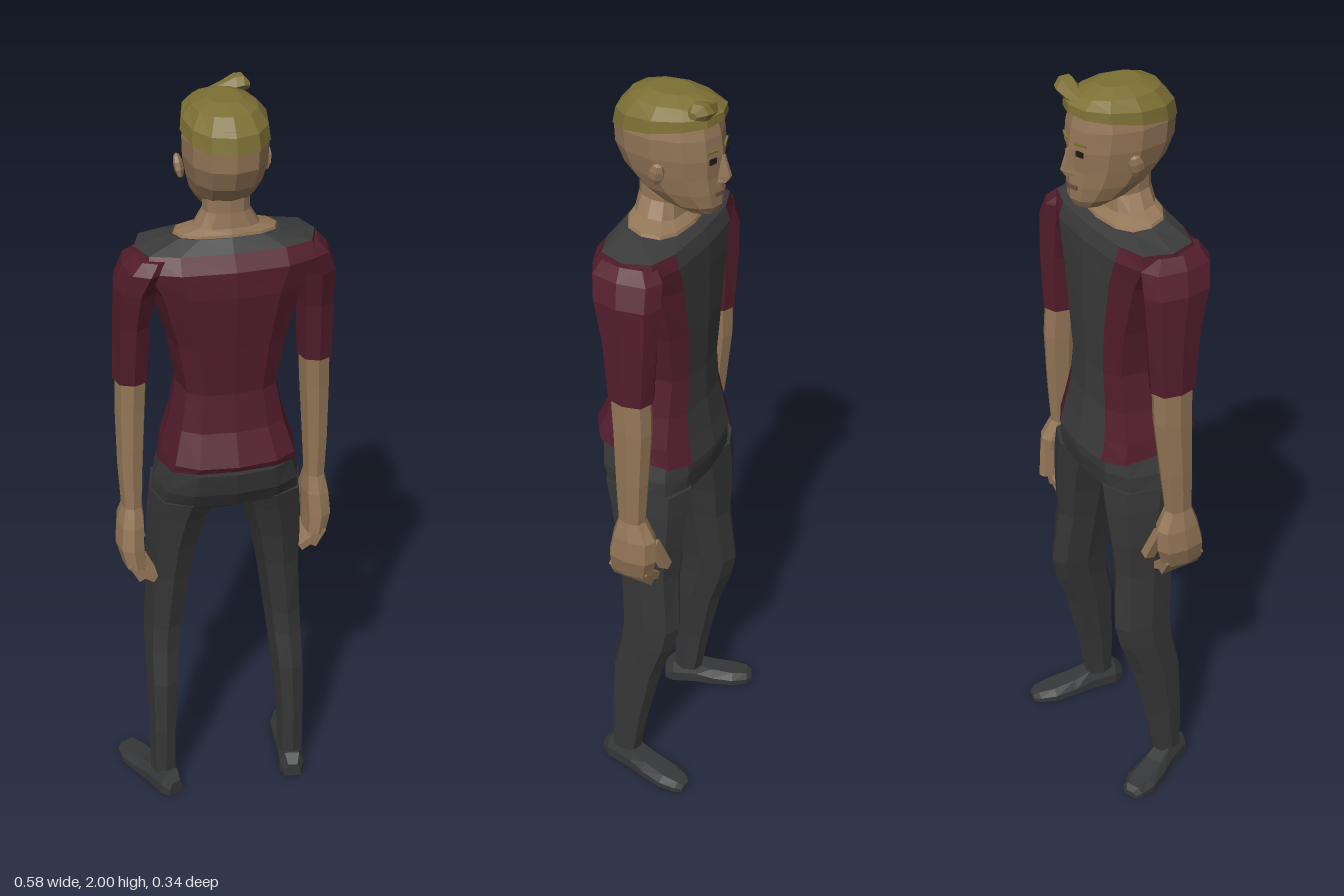
import * as THREE from 'three';

const mat = (name, color) => {
  const m = new THREE.MeshStandardMaterial({ color });
  m.name = name;
  m.flatShading = true;
  return m;
};

// Skins a list of equal-length point rings, caps both ends, and turns all faces outward.
// pick(ring, segment) chooses an index into the list of materials.
function loft(name, rings, mats, pick = () => 0) {
  const list = [].concat(mats);
  const tris = list.map(() => []);
  const n = rings[0].length;
  const mid = r => r.reduce((s, p) => s.add(p), new THREE.Vector3()).divideScalar(n);
  for (let i = 0; i < rings.length - 1; i++) {
    for (let j = 0; j < n; j++) {
      const k = (j + 1) % n;
      const [a, b, c, d] = [rings[i][j], rings[i][k], rings[i + 1][k], rings[i + 1][j]];
      tris[pick(i, j)].push([a, d, c], [a, c, b]);
    }
  }
  const last = rings.length - 1;
  const c0 = mid(rings[0]), c1 = mid(rings[last]);
  for (let j = 0; j < n; j++) {
    const k = (j + 1) % n;
    tris[pick(0, j)].push([c0, rings[0][j], rings[0][k]]);
    tris[pick(last - 1, j)].push([c1, rings[last][k], rings[last][j]]);
  }
  let volume = 0;
  tris.flat().forEach(([a, b, c]) => { volume += a.dot(b.clone().cross(c)); });
  const geo = new THREE.BufferGeometry();
  const points = [];
  tris.forEach((set, m) => {
    geo.addGroup(points.length, set.length * 3, m);
    set.forEach(([a, b, c]) => points.push(...(volume < 0 ? [a, c, b] : [a, b, c])));
  });
  geo.setFromPoints(points);
  geo.computeVertexNormals();
  const mesh = new THREE.Mesh(geo, list.length > 1 ? list : list[0]);
  mesh.name = name;
  return mesh;
}

// Horizontal ring: height, centre x, half width, front z, back z.
// Lower powers make the section boxier; shift and shear move an arm backwards.
function ring([y, cx, w, zf, zb], opt = {}) {
  const { n = 12, power = 0.8, zPower = power, tilt = 0, taper = 0, side = 1, shift = 0, shear = 0 } = opt;
  const soft = (v, p) => Math.sign(v) * Math.pow(Math.abs(v), p);
  return Array.from({ length: n }, (_, j) => {
    const a = (j / n) * Math.PI * 2;
    const c = soft(Math.cos(a), power), s = soft(Math.sin(a), zPower);
    const z = (zf + zb) / 2 + s * (zb - zf) / 2;
    const x = cx + w * c * (1 - taper * Math.max(0, -s));
    return new THREE.Vector3(side * x, y + tilt * z, z + shift + shear * Math.max(0, 1.3 - y));
  });
}

export function createModel() {
  const skin = mat('skin', 0x937657);
  const hair = mat('hair', 0x7d7035);
  const maroon = mat('maroon cloth', 0x521d2c);
  const grey = mat('grey cloth', 0x3a3a3a);
  const trousers = mat('trouser cloth', 0x363636);
  const leather = mat('shoe leather', 0x363738);
  const dark = mat('eye dark', 0x1d1916);
  const lip = mat('lip', 0x6e4f40);

  const model = new THREE.Group();
  model.name = 'standingMan';
  const add = m => (model.add(m), m);
  const stack = (name, rows, mats, opt, pick) =>
    add(loft(name, rows.map(r => ring(r, opt)), mats, pick));

  // Shirt body: grey front panel and shoulder yoke, maroon sides and back
  const shirt = [
    [1.05, 0, 0.177, -0.128, 0.158], [1.09, 0, 0.17, -0.115, 0.166], [1.17, 0, 0.145, -0.102, 0.13],
    [1.27, 0, 0.125, -0.1, 0.115], [1.4, 0, 0.147, -0.105, 0.125], [1.54, 0, 0.188, -0.105, 0.138],
    [1.605, 0, 0.225, -0.102, 0.134], [1.641, 0, 0.22, -0.088, 0.105]]
    .map((r, i) => ring(r, { zPower: 0.55, tilt: i === 0 ? 0.15 : 0 }));
  shirt.push(ring([1.662, 0, 0.135, -0.07, 0.085], { tilt: 0.12 }));
  add(loft('shirt', shirt, [maroon, grey], (i, j) => (i === 7 || j === 8 || j === 9 ? 1 : 0)));

  // Neck, spreading into the wide collar opening
  stack('neck', [[1.66, 0, 0.128, -0.066, 0.082], [1.669, 0, 0.124, -0.062, 0.08], [1.682, 0, 0.08, -0.04, 0.075],
    [1.72, 0, 0.057, -0.032, 0.07], [1.77, 0, 0.057, -0.04, 0.07]], skin, { tilt: 0.12 });

  // Head, slightly narrower towards the face
  const headShape = { power: 0.87, taper: 0.12 };
  stack('head', [[1.704, 0, 0.038, -0.123, -0.04], [1.724, 0, 0.058, -0.134, 0.015], [1.76, 0, 0.077, -0.135, 0.072],
    [1.8, 0, 0.089, -0.133, 0.108], [1.85, 0, 0.099, -0.136, 0.13], [1.9, 0, 0.101, -0.13, 0.132],
    [1.945, 0, 0.09, -0.118, 0.118]], skin, headShape);

  // Hair cap, lower at the nape
  add(loft('hairCap', [
    ring([1.915, 0, 0.104, -0.137, 0.135], { ...headShape, tilt: -0.16 }),
    ring([1.945, 0, 0.1, -0.135, 0.127], { ...headShape, tilt: -0.09 }),
    ring([1.972, 0, 0.077, -0.108, 0.095], headShape),
    ring([1.988, 0, 0.04, -0.06, 0.05], headShape)], hair));

  // Quiff swept to one side of the fringe
  add(loft('quiff', [[-0.03, 1.955, -0.1, 0.01], [0.02, 1.964, -0.107, 0.018], [0.05, 1.974, -0.108, 0.023],
    [0.068, 1.977, -0.106, 0.021], [0.083, 1.972, -0.1, 0.009]].map(([x, y, z, r]) =>
    Array.from({ length: 6 }, (_, j) => {
      const a = (j * Math.PI) / 3;
      return new THREE.Vector3(x, y + r * Math.sin(a), z + r * 1.25 * Math.cos(a));
    })), hair));

  // Nose
  add(loft('nose', [[1.85, 0.008, -0.14], [1.8, 0.014, -0.156], [1.785, 0.018, -0.147]].map(([y, w, z]) =>
    [[-w, -0.12], [w, -0.12], [w * 0.4, z], [-w * 0.4, z]].map(([x, d]) => new THREE.Vector3(x, y, d))), skin));

  for (const side of [1, -1]) {
    const label = side > 0 ? 'left' : 'right';
    const box = (name, m, [w, h, d], [x, y, z], [rx, ry, rz] = [0, 0, 0]) => {
      const b = add(new THREE.Mesh(new THREE.BoxGeometry(w, h, d), m));
      b.name = label + name;
      b.position.set(side * x, y, z);
      b.rotation.set(rx, side * ry, side * rz);
    };

    // Face details and ears
    box('Eye', dark, [0.02, 0.013, 0.008], [0.033, 1.846, -0.125], [0, -0.31, 0]);
    box('Brow', hair, [0.034, 0.006, 0.009], [0.033, 1.868, -0.123], [0, -0.31, 0.08]);
    box('Lip', lip, [0.024, 0.01, 0.009], [0.011, 1.757, -0.131], [0, -0.31, 0]);
    const ear = add(new THREE.Mesh(new THREE.SphereGeometry(1, 6, 5), skin));
    ear.name = label + 'Ear';
    ear.scale.set(0.012, 0.031, 0.02);
    ear.position.set(side * 0.104, 1.82, -0.02);
    ear.rotation.set(-0.2, side * 0.3, -side * 0.15);

    // Sleeve, forearm and palm; the right arm hangs further back
    const arm = { n: 8, side, shift: side < 0 ? 0.022 : 0, shear: side < 0 ? 0.06 : 0 };
    stack(label + 'Sleeve', [[1.632, 0.18, 0.045, -0.06, 0.08], [1.605, 0.2, 0.052, -0.088, 0.096],
      [1.55, 0.222, 0.052, -0.094, 0.082], [1.45, 0.231, 0.046, -0.09, 0.055],
      [1.29, 0.236, 0.045, -0.08, 0.035]], maroon, arm);
    stack(label + 'Forearm', [[1.29, 0.236, 0.039, -0.074, 0.029], [1.2, 0.24, 0.038, -0.078, 0.022],
      [1.05, 0.245, 0.033, -0.07, 0.015], [0.93, 0.246, 0.027, -0.062, 0.01]], skin, arm);
    stack(label + 'Palm', [[0.93, 0.246, 0.027, -0.062, 0.01], [0.88, 0.25, 0.036, -0.092, 0.026],
      [0.82, 0.254, 0.037, -0.095, 0.036], [0.765, 0.247, 0.03, -0.08, 0.037]], skin, arm);

    // Curled fingers and thumb
    const dz = arm.shift + arm.shear * 0.5;
    for (let f = 0; f < 4; f++) {
      const z = -0.062 + f * 0.027 + dz;
      box('Finger' + (f + 1), skin, [0.028, 0.055, 0.027], [0.243, 0.757, z], [0, 0, -0.5]);
      box('Fingertip' + (f + 1), skin, [0.02, 0.042, 0.026], [0.217, 0.739, z], [0, 0, -1]);
    }
    box('Thumb', skin, [0.024, 0.09, 0.028], [0.227, 0.825, -0.09 + dz], [0.25, 0, -0.3]);

    // Trouser leg
    stack(label + 'Leg', [[0.96, 0.108, 0.088, -0.116, 0.118], [0.9, 0.122, 0.08, -0.116, 0.1],
      [0.8, 0.138, 0.068, -0.11, 0.076], [0.7, 0.147, 0.058, -0.102, 0.06], [0.53, 0.164, 0.05, -0.115, 0.05],
      [0.46, 0.169, 0.047, -0.1, 0.055], [0.36, 0.174, 0.043, -0.065, 0.076], [0.2, 0.18, 0.037, -0.03, 0.08],
      [0.055, 0.182, 0.036, -0.004, 0.077]], trousers, { n: 8, side });

    // Shoe, built heel to toe and turned outward
    const reach = side > 0 ? 1 : 0.92;
    const shoe = add(loft(label + 'Shoe', [[0.06, 0.022, 0.04], [0.035, 0.034, 0.062], [-0.04, 0.034, 0.058],
      [-0.09, 0.04, 0.042], [-0.155, 0.043, 0.033], [-0.2, 0.031, 0.028], [-0.216, 0.018, 0.018]].map(([z, w, h]) =>
      [[-w, 0], [w, 0], [w, h * 0.5], [w * 0.6, h], [-w * 0.6, h], [-w, h * 0.5]]
        .map(([x, y]) => new THREE.Vector3(x, y, z * reach))), leather));
    shoe.position.set(side * 0.183, 0, side > 0 ? 0.047 : 0.052);
    shoe.rotation.y = side > 0 ? -0.16 : 0.42;
  }

  // Hips of the trousers
  stack('hips', [[1.062, 0, 0.165, -0.115, 0.157], [1.0, 0, 0.188, -0.12, 0.145],
    [0.95, 0, 0.194, -0.115, 0.118], [0.92, 0, 0.17, -0.085, 0.075]], trousers, { zPower: 0.6 });

  return model;
}
